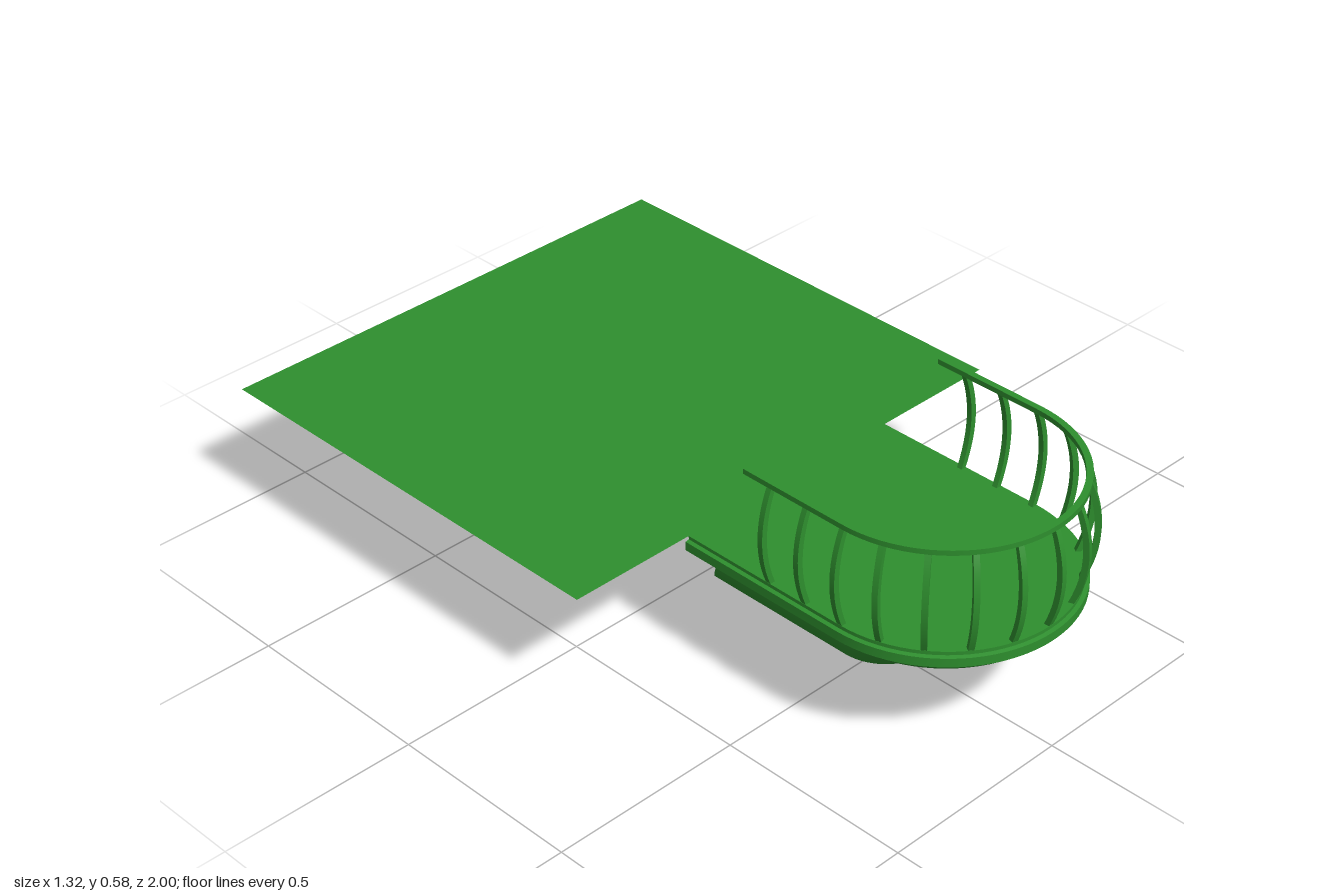
import * as THREE from 'three';
import { toCreasedNormals } from 'three/addons/utils/BufferGeometryUtils.js';

const CZ = 0.652; // centre of the rounded balcony front
const WALL = 0.19; // where the balcony meets the room floor
const TOP = 0.318; // floor level

const material = new THREE.MeshStandardMaterial({ color: 0x2e8f2e, side: THREE.DoubleSide });

// U-shaped outline: straight sides from the back, semicircular front
function outline(w, cz, back, n = 40) {
  const pts = [new THREE.Vector2(w, back)];
  for (let i = 0; i <= n; i++) {
    const a = (i / n) * Math.PI;
    pts.push(new THREE.Vector2(w * Math.cos(a), cz + w * Math.sin(a)));
  }
  pts.push(new THREE.Vector2(-w, back));
  return pts;
}

// Skin through outlines stacked from bottom to top
function loft(rows, closed, crease) {
  const pos = [], idx = [], n = rows[0].pts.length;
  for (const { y, pts } of rows) for (const p of pts) pos.push(p.x, y, p.y);
  for (let j = 0; j < rows.length - 1; j++) {
    for (let i = 0; i < (closed ? n : n - 1); i++) {
      const k = (i + 1) % n;
      const a = j * n + i, b = a + n, c = j * n + k, d = c + n;
      idx.push(a, b, c, c, b, d);
    }
  }
  const g = new THREE.BufferGeometry();
  g.setAttribute('position', new THREE.Float32BufferAttribute(pos, 3));
  g.setIndex(idx);
  return toCreasedNormals(g, crease);
}

export function createModel() {
  const model = new THREE.Group();
  const add = (name, geometry, parent = model) => {
    const mesh = new THREE.Mesh(geometry, material);
    mesh.name = name;
    parent.add(mesh);
    return mesh;
  };

  // Thin floor: room rectangle running out into the balcony
  const floor = new THREE.Shape([
    new THREE.Vector2(-0.66, -1), new THREE.Vector2(0.66, -1), new THREE.Vector2(0.66, WALL),
    ...outline(0.322, CZ, WALL), new THREE.Vector2(-0.66, WALL),
  ]);
  add('floor', new THREE.ShapeGeometry(floor).rotateX(Math.PI / 2).translate(0, TOP, 0));

  // Moulded slab edge, with its underside
  const edge = [[0.256, 0.3], [0.284, 0.332], [0.307, 0.332], [0.309, 0.322], [TOP, 0.322]];
  add('slabEdge', loft(edge.map(([y, w]) => ({ y, pts: outline(w, CZ, WALL) })), true, 0.5));
  add('slabUnderside', new THREE.ShapeGeometry(new THREE.Shape(outline(0.3, CZ, WALL)))
    .rotateX(Math.PI / 2).translate(0, 0.256, 0));

  // Corbel: [height, half width, front z], hollow and cut on a slant at the back
  const corbel = [
    [0, 0.001, 0.47], [0, 0.03, 0.49], [0.004, 0.06, 0.52], [0.012, 0.085, 0.55], [0.026, 0.108, 0.585],
    [0.045, 0.126, 0.62], [0.068, 0.14, 0.652], [0.095, 0.152, 0.682], [0.15, 0.172, 0.743], [0.258, 0.212, 0.864],
  ];
  add('corbel', loft(corbel.map(([y, w, front]) => (
    { y, pts: outline(w, front - w, 0.045 + y * 0.6) })), false, 1));

  // Handrail: flat U-shaped band
  const band = new THREE.Shape([...outline(0.322, CZ, 0.36), ...outline(0.306, CZ, 0.36).reverse()]);
  const rail = new THREE.ExtrudeGeometry(band, { depth: 0.013, bevelEnabled: false });
  add('handrail', toCreasedNormals(rail.rotateX(Math.PI / 2).translate(0, 0.582, 0), 0.5));

  // Bowed baluster, drawn in radius and height
  const bow = new THREE.Shape();
  bow.moveTo(0.306, TOP - 0.003);
  bow.lineTo(0.32, TOP - 0.003);
  bow.quadraticCurveTo(0.376, 0.445, 0.32, 0.572);
  bow.lineTo(0.306, 0.572);
  bow.quadraticCurveTo(0.36, 0.445, 0.306, TOP - 0.003);
  const bar = toCreasedNormals(
    new THREE.ExtrudeGeometry(bow, { depth: 0.014, bevelEnabled: false, curveSegments: 12 })
      .translate(0, 0, -0.007), 0.5);

  const balusters = new THREE.Group();
  balusters.name = 'balusters';
  model.add(balusters);
  const place = (z, angle) => {
    const mesh = add('baluster', bar, balusters);
    mesh.position.z = z;
    mesh.rotation.y = -angle;
  };
  for (let i = 0; i <= 10; i++) place(CZ, (i / 10) * Math.PI);
  for (const z of [0.438, 0.545]) {
    place(z, 0);
    place(z, Math.PI);
  }
  return model;
}
